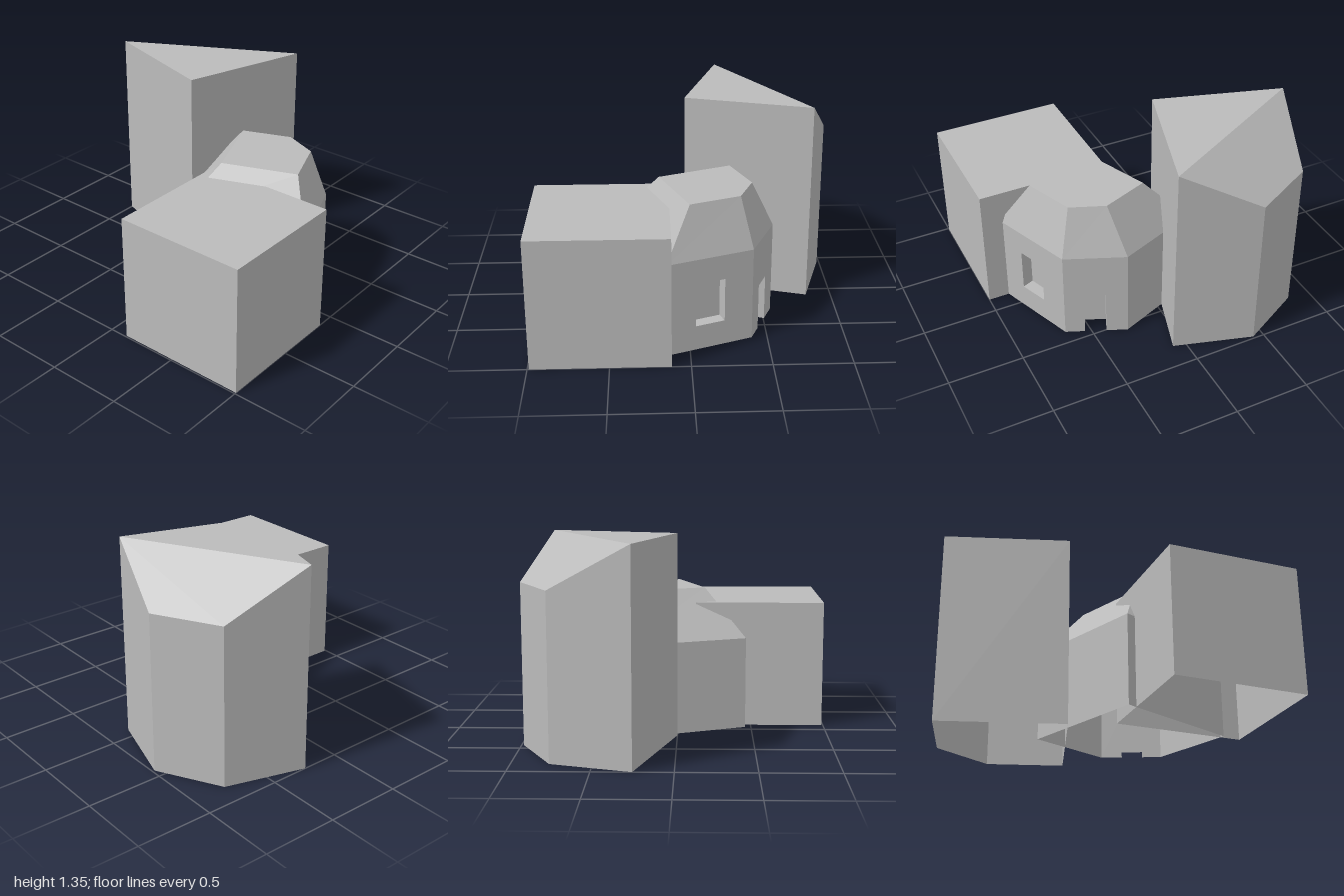
import * as THREE from 'three';

const grey = new THREE.MeshStandardMaterial({ color: 0xbbbbbb, side: THREE.DoubleSide });
grey.name = 'plain grey';

// Flat-shaded mesh from planar polygons, each a list of [x, y, z] corners
function faces(name, polygons) {
  const pos = [];
  for (const p of polygons)
    for (let i = 1; i < p.length - 1; i++) pos.push(...p[0], ...p[i], ...p[i + 1]);
  const geo = new THREE.BufferGeometry();
  geo.setAttribute('position', new THREE.Float32BufferAttribute(pos, 3));
  geo.computeVertexNormals();
  const mesh = new THREE.Mesh(geo, grey);
  mesh.name = name;
  return mesh;
}

// Wall standing between two plan points, with an optional recessed opening
function wall(a, b, ha, hb, opening) {
  const dx = b[0] - a[0], dz = b[1] - a[1], len = Math.hypot(dx, dz);
  const group = new THREE.Group();
  group.name = 'wall';
  group.position.set(a[0], 0, a[1]);
  group.rotation.y = Math.atan2(-dz, dx);

  let outline = [[0, 0], [len, 0], [len, hb], [0, ha]];
  let hole = null;
  if (opening) {
    const { name, u0, u1, y0, y1, depth: d } = opening;
    const rect = [[u0, y0], [u0, y1], [u1, y1], [u1, y0]];
    if (y0 > 0) hole = rect;
    else outline = [[0, 0], ...rect, ...outline.slice(1)];
    // jambs, lintel, back panel and (for windows) the sill
    const recess = [
      [[u0, y0, 0], [u0, y0, -d], [u0, y1, -d], [u0, y1, 0]],
      [[u1, y0, -d], [u1, y0, 0], [u1, y1, 0], [u1, y1, -d]],
      [[u0, y1, -d], [u1, y1, -d], [u1, y1, 0], [u0, y1, 0]],
      [[u0, y0, -d], [u1, y0, -d], [u1, y1, -d], [u0, y1, -d]],
    ];
    if (y0 > 0) recess.push([[u0, y0, 0], [u1, y0, 0], [u1, y0, -d], [u0, y0, -d]]);
    group.add(faces(name, recess));
  }
  const toPoints = (list) => list.map(([x, y]) => new THREE.Vector2(x, y));
  const shape = new THREE.Shape(toPoints(outline));
  if (hole) shape.holes.push(new THREE.Path(toPoints(hole)));
  const panel = new THREE.Mesh(new THREE.ShapeGeometry(shape), grey);
  panel.name = 'wallPanel';
  group.add(panel);
  return group;
}

// Building with an open underside: walls around the plan, then the roof faces
function building(name, plan, heights, roof, openings = {}) {
  const group = new THREE.Group();
  group.name = name;
  plan.forEach((p, i) => {
    const j = (i + 1) % plan.length;
    group.add(wall(p, plan[j], heights[i], heights[j], openings[i]));
  });
  group.add(faces('roof', roof));
  return group;
}

const lift = (plan, heights) => plan.map(([x, z], i) => [x, heights[i], z]);

export function createModel() {
  const model = new THREE.Group();
  model.name = 'buildingCluster';

  // Flat-roofed block
  const blockPlan = [[-0.99, 1], [-0.12, 1], [-0.12, 0.12], [-0.99, 0.12]];
  const blockH = blockPlan.map(() => 0.855);
  model.add(building('flatBlock', blockPlan, blockH, [lift(blockPlan, blockH)]));

  // Hut with one cut corner, sloping roof sides and a flat top
  const hutPlan = [[-0.147, 0.87], [0.4, 0.66], [0.56, 0.28], [0.35, -0.26], [-0.46, 0.06]];
  const topPlan = [[0, 0.7], [0.32, 0.575], [0.41, 0.35], [0.29, 0.04], [-0.18, 0.23]];
  const hutH = hutPlan.map(() => 0.62);
  const eaves = lift(hutPlan, hutH);
  const top = lift(topPlan, topPlan.map(() => 0.945));
  const slopes = eaves.map((e, i) => {
    const j = (i + 1) % eaves.length;
    return [e, eaves[j], top[j], top[i]];
  });
  model.add(building('hut', hutPlan, hutH, [top, ...slopes], {
    0: { name: 'windowRecess', u0: 0.195, u1: 0.393, y0: 0.165, y1: 0.455, depth: 0.08 },
    1: { name: 'doorRecess', u0: 0.13, u1: 0.271, y0: 0, y1: 0.31, depth: 0.11 },
  }));

  // Tower: half the roof is flat, half slopes to the cut corner
  const towerPlan = [[0, -0.17], [0.83, 0.085], [0.985, -0.43], [0.765, -0.845], [0.25, -1]];
  const towerH = [1.35, 1.35, 1.06, 1.06, 1.35];
  const t = lift(towerPlan, towerH);
  model.add(building('tower', towerPlan, towerH, [[t[0], t[1], t[4]], [t[1], t[2], t[3], t[4]]]));

  return model;
}
